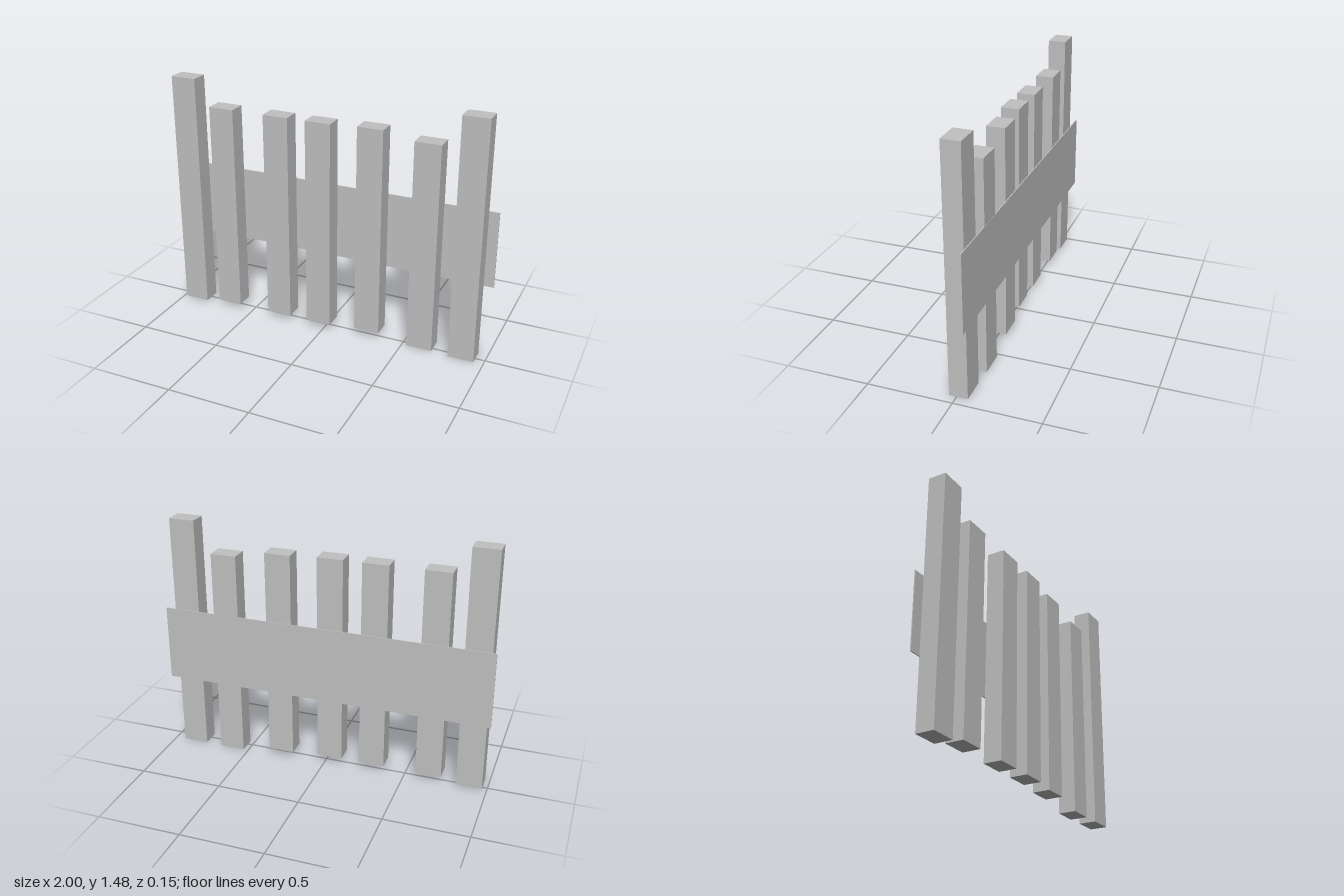
import * as THREE from 'three';

export function createModel() {
  const group = new THREE.Group();
  const grey = new THREE.MeshStandardMaterial({ color: 0xc0c0c0 });
  grey.name = 'plain grey';

  const box = (name, w, h, d, x, y, z) => {
    const mesh = new THREE.Mesh(new THREE.BoxGeometry(w, h, d), grey);
    mesh.name = name;
    mesh.position.set(x, y, z);
    group.add(mesh);
  };

  // Upright pickets: centre x, bottom y, height, centre z
  const tall = 1.466, short = 1.278;
  const pickets = [
    [-0.895, 0.012, tall, 0.018],
    [-0.649, 0.043, short, 0.018],
    [-0.296, 0.043, short, 0.018],
    [-0.03, 0.043, short, 0.018],
    [0.275, 0.043, short, -0.011],
    [0.607, 0.003, short, -0.019],
    [0.864, 0, tall, -0.011],
  ];
  pickets.forEach(([x, y, h, z], i) =>
    box(`${h === tall ? 'post' : 'picket'}${i + 1}`, 0.155, h, 0.108, x, y + h / 2, z));

  // Wide thin board across the back
  box('backRail', 2, 0.46, 0.006, 0, 0.674, -0.0715);

  return group;
}
